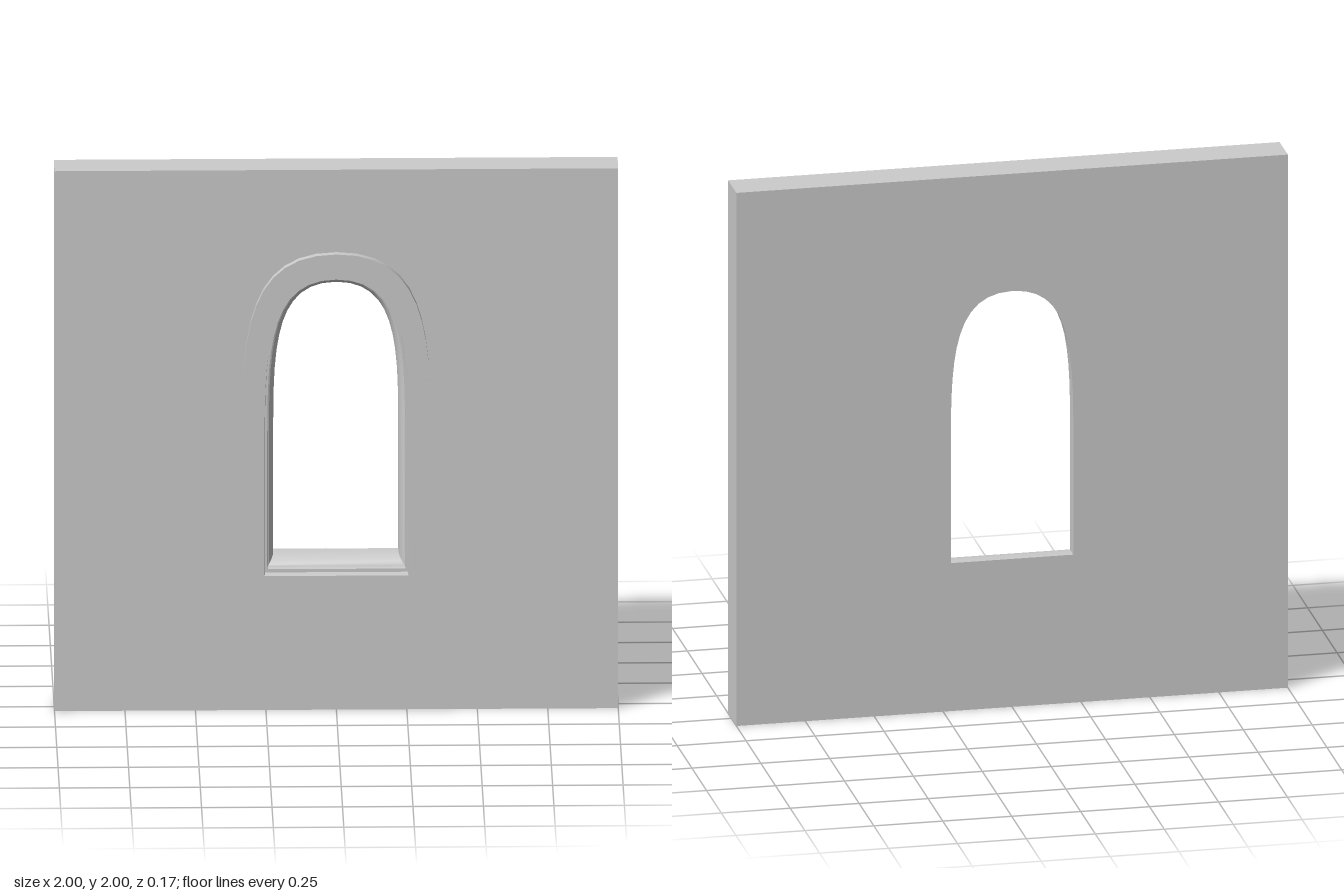
import * as THREE from 'three';
import { toCreasedNormals } from 'three/addons/utils/BufferGeometryUtils.js';

const BACK = -0.085, FACE = 0.055, FRONT = 0.085, SPRING = 1.03;
const material = new THREE.MeshStandardMaterial({ color: 0xcccccc });

// Arched outline, counter-clockwise from the bottom left corner
function archPoints(w, bottom, top) {
  const half = new THREE.CubicBezierCurve(
    new THREE.Vector2(w, SPRING),
    new THREE.Vector2(w, SPRING + 0.586 * (top - SPRING)),
    new THREE.Vector2(w * 0.925, top),
    new THREE.Vector2(0, top)
  ).getPoints(12);
  const mirrored = half.slice(0, -1).reverse().map(p => new THREE.Vector2(-p.x, p.y));
  return [new THREE.Vector2(-w, bottom), new THREE.Vector2(w, bottom), ...half, ...mirrored];
}

// Opening outline: inset runs from 0 at the front edge to 1 at the back
const opening = t => archPoints(0.255 - 0.033 * t, 0.505 + 0.05 * t, 1.605 - 0.045 * t);
const outer = archPoints(0.335, 0.43, 1.695);

// Skin a series of outlines placed at given depths
function loft(rings) {
  const pos = [];
  for (let r = 0; r < rings.length - 1; r++) {
    const [p, zp] = rings[r], [q, zq] = rings[r + 1];
    for (let i = 0; i < p.length; i++) {
      const j = (i + 1) % p.length;
      const a = [p[i].x, p[i].y, zp], b = [p[j].x, p[j].y, zp];
      const c = [q[j].x, q[j].y, zq], d = [q[i].x, q[i].y, zq];
      pos.push(...a, ...b, ...c, ...a, ...c, ...d);
    }
  }
  const g = new THREE.BufferGeometry();
  g.setAttribute('position', new THREE.Float32BufferAttribute(pos, 3));
  return toCreasedNormals(g, 0.5);
}

// Square wall face pierced by an outline
function wallFace(hole) {
  const s = new THREE.Shape([[-1, 0], [1, 0], [1, 2], [-1, 2]].map(p => new THREE.Vector2(...p)));
  s.holes.push(new THREE.Path(hole));
  return new THREE.ShapeGeometry(s);
}

export function createModel() {
  const group = new THREE.Group();
  const add = (name, geometry, parent = group) => {
    const mesh = new THREE.Mesh(geometry, material);
    mesh.name = name;
    parent.add(mesh);
    return mesh;
  };

  // Wall slab: two pierced faces and four edges
  const wall = new THREE.Group();
  wall.name = 'wall';
  group.add(wall);
  add('wallFront', wallFace(outer), wall).position.z = FACE;
  const back = add('wallBack', wallFace(opening(1)), wall);
  back.rotation.y = Math.PI;
  back.position.z = BACK;
  for (let i = 0; i < 4; i++) {
    const edge = new THREE.PlaneGeometry(2, FACE - BACK);
    edge.rotateX(-Math.PI / 2).translate(0, 1, (FACE + BACK) / 2);
    edge.rotateZ(i * Math.PI / 2).translate(0, 1, 0);
    add('wallEdge', edge, wall);
  }

  // Raised flat surround
  add('windowSurround', loft([[outer, FACE], [outer, FRONT], [opening(0), FRONT]]));

  // Moulded reveal: square lip, small step, then a shallow cove to the back
  const profile = [[0, FRONT], [0.06, 0.05], [0.3, 0.05], [0.32, 0.025]];
  for (let i = 1; i <= 6; i++) {
    const a = i / 6 * Math.PI / 2;
    profile.push([0.32 + 0.68 * Math.sin(a), 0.025 - 0.08 * (1 - Math.cos(a))]);
  }
  profile.push([1, BACK]);
  add('windowReveal', loft(profile.map(([t, z]) => [opening(t), z])));

  return group;
}
